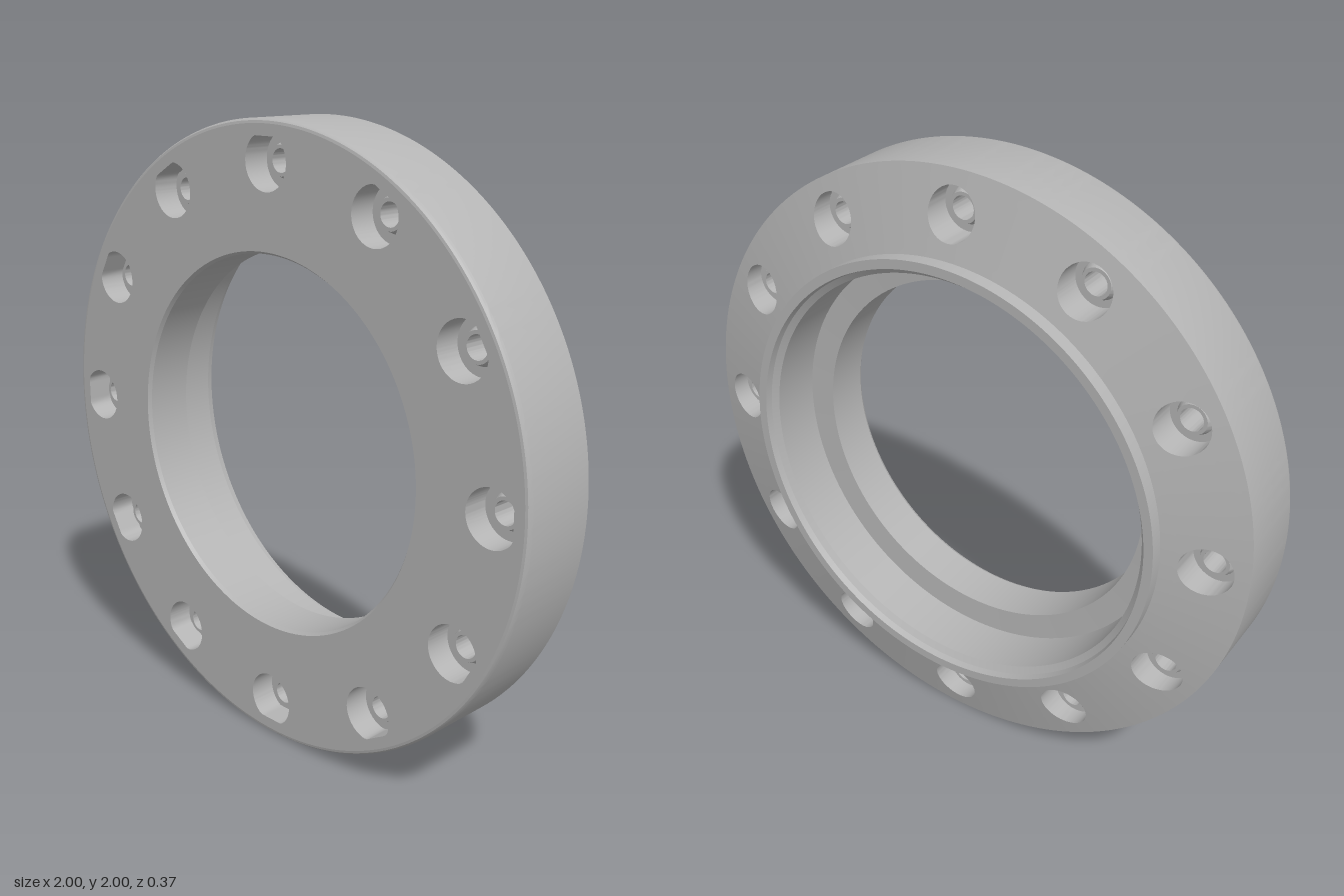
import * as THREE from 'three';
import { mergeGeometries, toCreasedNormals } from 'three/addons/utils/BufferGeometryUtils.js';

const HOLES = 12, ARC = 24, RADIAL = 10, HOLE_R = 0.875;
const HALF = Math.PI / HOLES;
const CREASE = 0.5;

// Outline of one 30 degree slice of an annulus, counter-clockwise
function sliceOutline(rIn, rOut) {
  const pts = [];
  const add = (r, a) => pts.push(new THREE.Vector2(r * Math.cos(a), r * Math.sin(a)));
  for (let i = 0; i < ARC; i++) add(rOut, HALF * (2 * i / ARC - 1));
  for (let i = 0; i < RADIAL; i++) add(rOut + (rIn - rOut) * i / RADIAL, HALF);
  for (let i = 0; i < ARC; i++) add(rIn, HALF * (1 - 2 * i / ARC));
  for (let i = 0; i < RADIAL; i++) add(rIn + (rOut - rIn) * i / RADIAL, -HALF);
  return pts;
}

// Face slice lofted from its outline to the pocket rim, then down the pocket profile [radius, z]
function faceWithPockets({ rIn, rOut, height, pocket, flat, profile, flip }) {
  const outline = sliceOutline(rIn, rOut);
  const n = outline.length;
  const centre = new THREE.Vector2(HOLE_R, 0);
  const dirs = outline.map(p => p.clone().sub(centre).normalize());
  // The pocket is slightly flattened on the side nearest the outer edge
  const ring = r => dirs.map(d => {
    const rr = r >= pocket && d.x > 0 ? Math.min(r, flat / d.x) : r;
    return d.clone().multiplyScalar(rr).add(centre);
  });
  const rim = ring(pocket);
  const rows = [];
  for (let k = 0; k <= 4; k++) {
    rows.push(outline.map((p, j) => {
      const q = p.clone().lerp(rim[j], k / 4);
      return [q.x, q.y, height(q.length())];
    }));
  }
  for (const [r, z] of profile) rows.push(ring(r).map(q => [q.x, q.y, z]));

  const index = [];
  for (let i = 0; i < rows.length - 1; i++) {
    for (let j = 0; j < n; j++) {
      const a = i * n + j, b = i * n + (j + 1) % n, c = a + n, d = b + n;
      if (flip) index.push(a, c, b, b, c, d);
      else index.push(a, b, c, b, d, c);
    }
  }
  const slice = new THREE.BufferGeometry();
  slice.setAttribute('position', new THREE.Float32BufferAttribute(rows.flat(2), 3));
  slice.setIndex(index);
  const slices = [];
  for (let k = 0; k < HOLES; k++) slices.push(slice.clone().rotateZ(2 * HALF * k));
  return toCreasedNormals(mergeGeometries(slices), CREASE);
}

// Turned surface about the z axis from [radius, z] points
function turned(points) {
  const g = new THREE.LatheGeometry(points.map(p => new THREE.Vector2(...p)), HOLES * ARC);
  g.rotateX(Math.PI / 2);
  return toCreasedNormals(g, CREASE);
}

export function createModel() {
  const group = new THREE.Group();
  const metal = new THREE.MeshStandardMaterial({ color: 0xb4b4b4 });
  metal.name = 'grey metal';
  const add = (name, geometry) => {
    const mesh = new THREE.Mesh(geometry, metal);
    mesh.name = name;
    mesh.position.y = 1;
    group.add(mesh);
  };

  // Outer rim with a rounded front edge
  add('outerRim', turned([
    [1, -0.078], [1, 0.172], [0.998, 0.179], [0.993, 0.185], [0.985, 0.187],
  ]));

  // Stepped bore and raised rear lip
  add('boreAndLip', turned([
    [0.61, 0.187], [0.602, 0.175], [0.602, 0.025], [0.69, 0.02],
    [0.69, -0.15], [0.71, -0.165], [0.715, -0.187], [0.745, -0.187], [0.745, -0.143],
  ]));

  // Flat front face with recessed bolt seats
  add('frontFace', faceWithPockets({
    rIn: 0.61, rOut: 0.985, height: () => 0.187,
    pocket: 0.088, flat: 0.074,
    profile: [[0.088, 0.1], [0.057, 0.1], [0.047, 0.125], [0.036, 0.125], [0.036, 0.03]],
  }));

  // Sloping rear face with round bolt seats
  add('rearFace', faceWithPockets({
    rIn: 0.745, rOut: 1, height: r => -0.143 + (r - 0.745) * 0.065 / 0.255,
    pocket: 0.08, flat: 0.08, flip: true,
    profile: [[0.08, -0.025], [0.057, -0.025], [0.047, -0.05], [0.036, -0.05], [0.036, 0.03]],
  }));

  return group;
}
